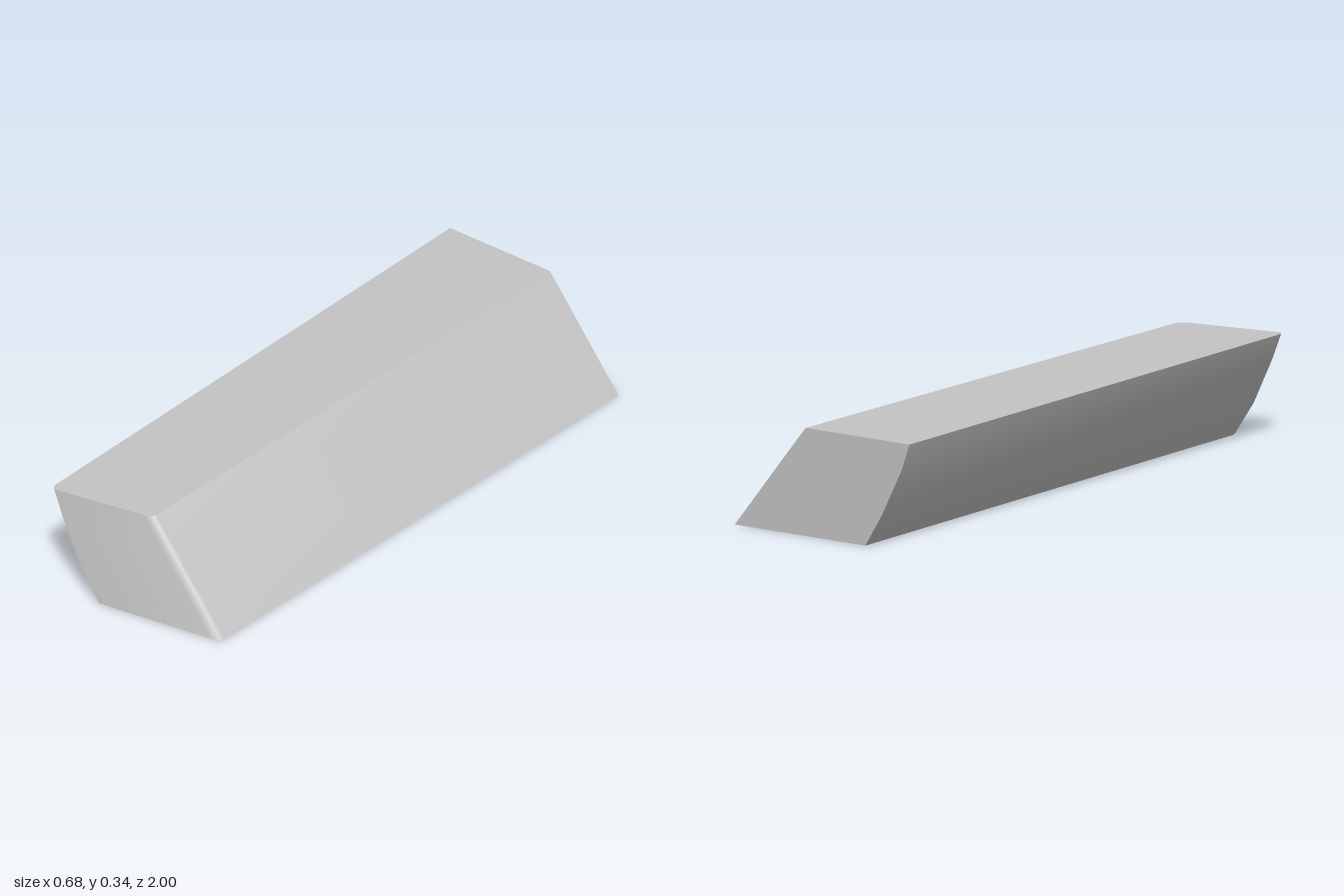
import * as THREE from 'three';
import { toCreasedNormals } from 'three/addons/utils/BufferGeometryUtils.js';

// Horizontal slices: [height, left edge at back, left edge at front, right edge]
const LEVELS = [
  [0, -0.17, -0.115, 0.34],
  [0.11, -0.237, -0.19, 0.252],
  [0.26, -0.312, -0.263, 0.132],
  [0.345, -0.342, -0.297, 0.063],
];

// Outline of one slice, counter-clockwise from above, with softened front corners
function slice([y, back, front, right]) {
  return [
    [back, -1], [front, 0.972], [front + 0.005, 0.99], [front + 0.015, 1],
    [right - 0.035, 0.941], [right - 0.018, 0.935], [right - 0.006, 0.926], [right - 0.002, 0.915],
    [right, -1],
  ].map(([x, z]) => new THREE.Vector3(x, y, z));
}

function createBarGeometry() {
  const rings = LEVELS.map(slice);
  const n = rings[0].length;
  const points = rings.flat();
  const index = [];
  // Side walls
  for (let k = 0; k < rings.length - 1; k++) {
    for (let i = 0; i < n; i++) {
      const a = k * n + i, b = k * n + (i + 1) % n;
      index.push(a, b, b + n, a, b + n, a + n);
    }
  }
  // Flat bottom and top
  const top = (rings.length - 1) * n;
  for (let i = 1; i < n - 1; i++) {
    index.push(0, i + 1, i);
    index.push(top, top + i, top + i + 1);
  }
  const geometry = new THREE.BufferGeometry().setFromPoints(points);
  geometry.setIndex(index);
  return toCreasedNormals(geometry, 0.6);
}

export function createModel() {
  const group = new THREE.Group();
  group.name = 'slantedBar';
  const grey = new THREE.MeshStandardMaterial({ color: 0xc4c4c4 });
  grey.name = 'light grey';
  const bar = new THREE.Mesh(createBarGeometry(), grey);
  bar.name = 'bar';
  group.add(bar);
  return group;
}
